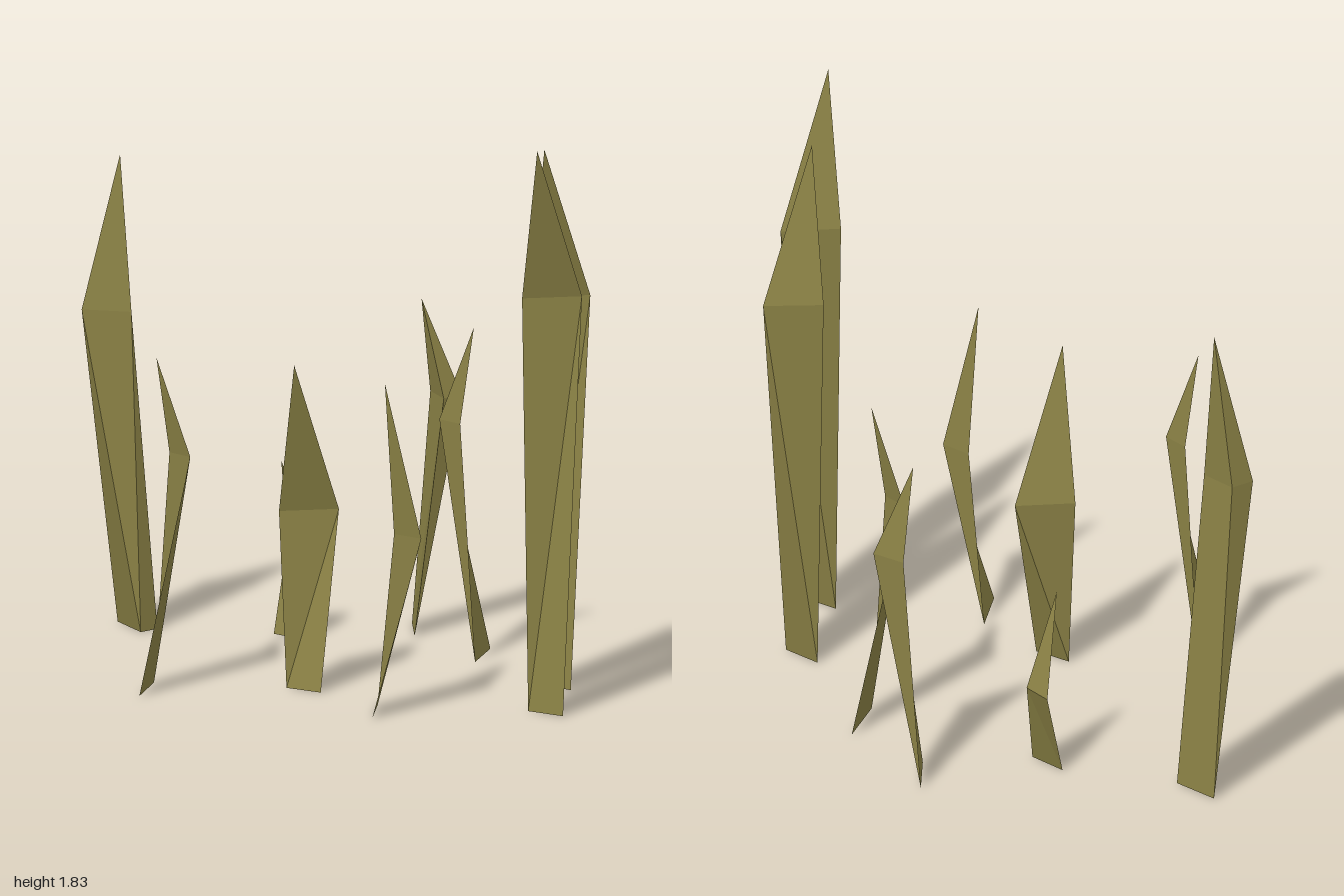
import * as THREE from 'three';

const olive = new THREE.MeshStandardMaterial({ color: 0x8a8145, flatShading: true, side: THREE.DoubleSide });
olive.name = 'olive';

// One bent blade: foot points at the ground, bend points above them, one tip.
// Points are [x, z]. Three points make a closed blade, two make a thin leaf.
function makeBlade(name, { foot, bend, bendY, tip, tipY }) {
  const at = ([x, z], y) => new THREE.Vector3(x, y, z);
  const low = foot.map((p) => at(p, 0));
  const mid = bend.map((p) => at(p, bendY));
  const top = at(tip, tipY);
  const closed = foot.length > 2;
  const faces = [];
  const sides = closed ? foot.length : 1;
  for (let i = 0; i < sides; i++) {
    const j = (i + 1) % foot.length;
    faces.push([low[i], low[j], mid[j]], [low[i], mid[j], mid[i]], [mid[i], mid[j], top]);
  }
  if (closed) faces.push([low[0], low[2], low[1]]);
  // drop faces that collapse where foot points meet
  const solid = faces.filter((f) => new THREE.Triangle(...f).getArea() > 1e-6);
  const geometry = new THREE.BufferGeometry().setFromPoints(solid.flat());
  geometry.computeVertexNormals();
  const mesh = new THREE.Mesh(geometry, olive);
  mesh.name = name;
  return mesh;
}

const blades = {
  // tall and medium leaves bending towards the left
  tallFrontBlade: { foot: [[0.33, 0.88], [0.4, 1]], bend: [[0.33, 0.83], [0.52, 0.87]], bendY: 1.33, tip: [0.33, 0.955], tipY: 1.83 },
  tallSideBlade: { foot: [[0.53, 0.475], [0.59, 0.61]], bend: [[0.525, 0.43], [0.71, 0.485]], bendY: 1.25, tip: [0.52, 0.56], tipY: 1.75 },
  middleBlade: { foot: [[-0.23, 0.225], [-0.16, 0.34]], bend: [[-0.235, 0.175], [-0.045, 0.215]], bendY: 0.565, tip: [-0.235, 0.3], tipY: 1.06 },
  // twisted leaves
  frontTwistedBlade: { foot: [[-0.075, 0.605], [-0.175, 0.8]], bend: [[-0.045, 0.67], [0.005, 0.775]], bendY: 0.565, tip: [-0.085, 0.69], tipY: 1.06 },
  rightTwistedBlade: { foot: [[-0.585, -0.02], [-0.715, 0.17]], bend: [[-0.565, 0.06], [-0.535, 0.16]], bendY: 0.76, tip: [-0.61, 0.06], tipY: 1.07 },
  leftTwistedBlade: { foot: [[0.49, 0.06], [0.62, -0.125]], bend: [[0.47, -0.015], [0.44, -0.115]], bendY: 0.76, tip: [0.515, -0.01], tipY: 1.07 },
  // small folded leaf
  smallBlade: { foot: [[0.08, -0.62], [0.135, -0.485]], bend: [[0.155, -0.69], [0.185, -0.575]], bendY: 0.28, tip: [0.07, -0.535], tipY: 0.58 },
  // closed three-sided blades at the back
  backLeftBlade: { foot: [[0.48, -0.415], [0.555, -0.615], [0.555, -0.615]], bend: [[0.585, -0.425], [0.66, -0.455], [0.595, -0.56]], bendY: 0.76, tip: [0.55, -0.525], tipY: 1.07 },
  backRightBlade: { foot: [[-0.3, -0.81], [-0.23, -0.84], [-0.3, -1]], bend: [[-0.46, -0.915], [-0.33, -0.815], [-0.38, -0.945]], bendY: 1.04, tip: [-0.34, -0.885], tipY: 1.54 },
};

export function createModel() {
  const grass = new THREE.Group();
  grass.name = 'grassBlades';
  for (const [name, shape] of Object.entries(blades)) grass.add(makeBlade(name, shape));
  return grass;
}
